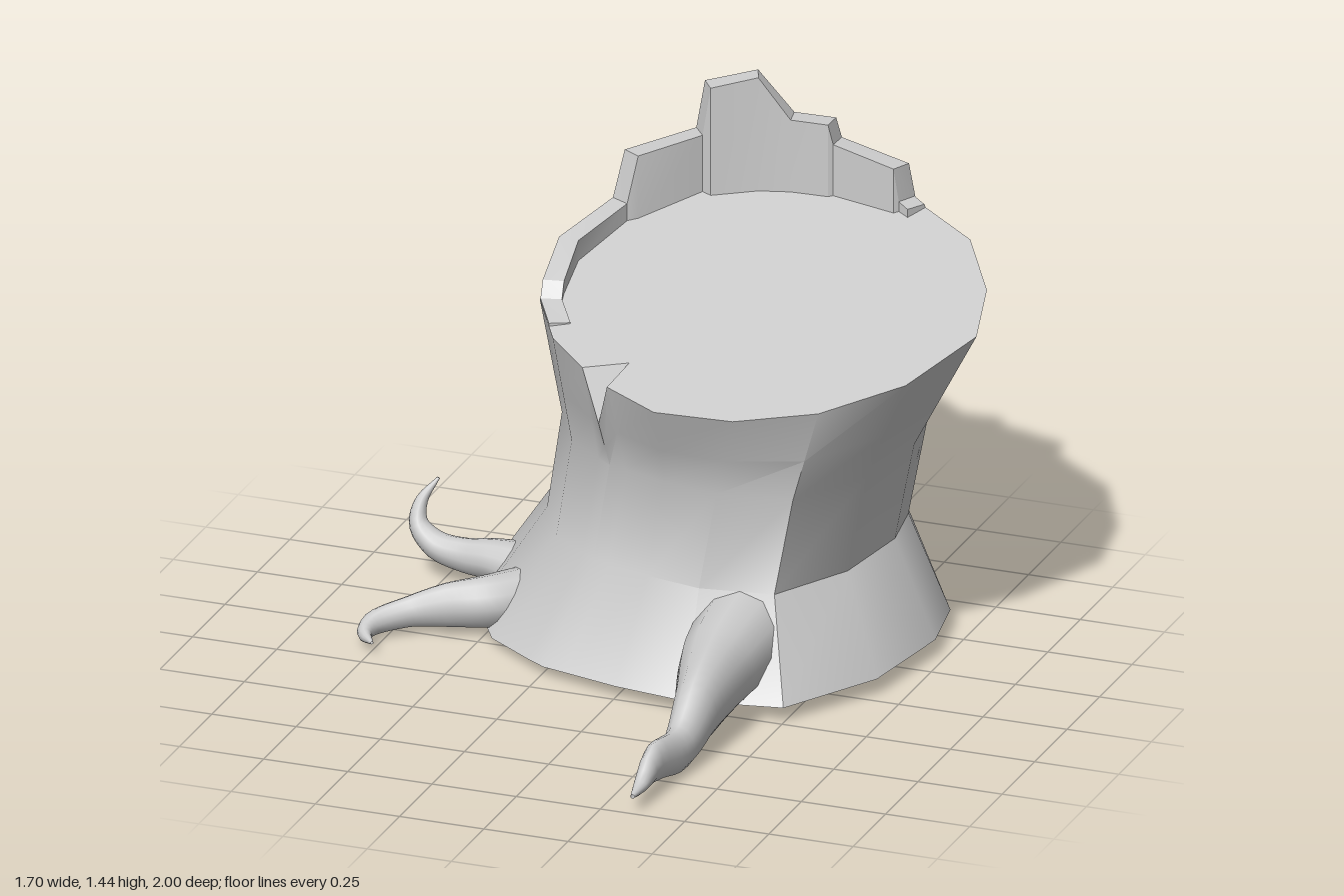
import * as THREE from 'three';
import { mergeVertices, toCreasedNormals } from 'three/addons/utils/BufferGeometryUtils.js';

const V = (x, y, z) => new THREE.Vector3(x, y, z);
const material = new THREE.MeshStandardMaterial({ color: 0xcccccc, side: THREE.DoubleSide });

// Height of the slanted cut at a given depth
const cutY = (z) => 0.91 - 0.24 * z;
const CENTRE = V(0.2, cutY(-0.36), -0.36);
const NOTCH = 12; // rim point at the foot of the notch

// Plan outlines (x, z), counter-clockwise seen from above
const RIM = [
  [0.85, -0.34], [0.8, -0.55], [0.67, -0.76], [0.45, -0.9], [0.22, -0.95], [-0.03, -0.94],
  [-0.2, -0.86], [-0.34, -0.68], [-0.42, -0.42], [-0.4, -0.22], [-0.3, -0.06], [-0.17, 0.05],
  [-0.11, 0.08], [-0.07, 0.12], [0.1, 0.2], [0.33, 0.19], [0.55, 0.1], [0.74, -0.08],
];
const FOOT = [
  [0.72, -0.36], [0.68, -0.58], [0.56, -0.78], [0.36, -0.94], [0.14, -1], [-0.1, -0.95],
  [-0.31, -0.84], [-0.48, -0.65], [-0.64, -0.44], [-0.58, -0.2], [-0.45, 0.02], [-0.3, 0.13],
  [-0.24, 0.17], [-0.17, 0.19], [0, 0.24], [0.22, 0.28], [0.5, 0.24], [0.67, -0.04],
];

const rim = RIM.map(([x, z], i) => V(x, i === NOTCH ? 0.75 : cutY(z), z));

function creasedMesh(name, corners, angle) {
  const geometry = new THREE.BufferGeometry().setFromPoints(corners);
  const mesh = new THREE.Mesh(toCreasedNormals(geometry, angle), material);
  mesh.name = name;
  return mesh;
}

// Trunk: flared foot, narrow waist, wide slanted top with a notch in the rim
function makeTrunk() {
  const foot = FOOT.map(([x, z]) => V(x, 0.04 + 0.02 * x, z));
  const waist = (y, cx, sx) =>
    FOOT.map(([x, z]) => V(cx + (x - 0.04) * sx, y, -0.43 + (z + 0.36) * 0.83));
  const neck = waist(0.6, 0.11, 0.765);
  const rings = [
    foot,
    waist(0.31, 0.06, 0.755),
    neck,
    neck.map((p, i) => p.clone().lerp(rim[i], 0.45)),
    rim,
  ];
  const tris = [];
  const n = rim.length;
  const apex = V(-0.05, cutY(0), 0);
  const surface = rim.map((p, i) => (i === NOTCH ? apex : p));
  const under = V(0.04, 0.04, -0.36);
  for (let i = 0; i < n; i++) {
    const j = (i + 1) % n;
    for (let k = 0; k < rings.length - 1; k++) {
      const [lo, hi] = [rings[k], rings[k + 1]];
      tris.push(lo[i], lo[j], hi[j], lo[i], hi[j], hi[i]);
    }
    tris.push(CENTRE, surface[i], surface[j]); // cut face
    tris.push(under, foot[j], foot[i]); // underside
  }
  // Notch walls
  tris.push(rim[NOTCH - 1], rim[NOTCH], apex, rim[NOTCH], rim[NOTCH + 1], apex);
  return creasedMesh('trunk', tris, 0.65);
}

// Splintered wall of bark standing on the back and right of the rim
function makeBrokenBark() {
  // position along the rim, height of the upper edge
  const edge = [
    [2.8, 1.13], [2.97, 1.14], [3, 1.24], [3.97, 1.27], [4.03, 1.33], [4.55, 1.33], [5, 1.45],
    [5.85, 1.42], [5.95, 1.27], [7, 1.25], [7.12, 1.11], [8, 1.07], [8.85, 1.01], [9.05, 0.97],
    [9.7, 0.945],
  ];
  const stations = edge.map(([t, y]) => {
    const i = Math.floor(t);
    const base = rim[i].clone().lerp(rim[i + 1], t - i);
    const inward = V(CENTRE.x - base.x, 0, CENTRE.z - base.z).normalize();
    const lean = Math.max(0, y - 1.1) * 0.15;
    const top = base.clone().addScaledVector(inward, lean).setY(y);
    const innerTop = top.clone().addScaledVector(inward, 0.06);
    const innerBase = innerTop.clone().setY(cutY(innerTop.z) - 0.01);
    return [base, top, innerTop, innerBase];
  });
  const tris = [];
  for (let k = 0; k < stations.length - 1; k++) {
    const [a, b] = [stations[k], stations[k + 1]];
    for (let j = 0; j < 3; j++) tris.push(a[j], b[j], b[j + 1], a[j], b[j + 1], a[j + 1]);
  }
  const [s, e] = [stations[0], stations[stations.length - 1]];
  tris.push(s[0], s[1], s[2], s[0], s[2], s[3], e[0], e[2], e[1], e[0], e[3], e[2]);
  return creasedMesh('brokenBark', tris, 0.45);
}

// Tapering root: each point is x, y, z, half width, half height
function makeRoot(name, points) {
  const steps = 28, sides = 12;
  const curve = new THREE.CatmullRomCurve3(points.map(([x, y, z]) => V(x, y, z)));
  const tube = new THREE.TubeGeometry(curve, steps, 1, sides, false);
  const pos = tube.attributes.position;
  const p = V(0, 0, 0);
  for (let i = 0; i <= steps; i++) {
    const centre = curve.getPointAt(i / steps);
    const t = curve.getUtoTmapping(i / steps) * (points.length - 1);
    const k = Math.min(Math.floor(t), points.length - 2);
    const size = (c) => THREE.MathUtils.lerp(points[k][c], points[k + 1][c], t - k);
    const scale = V(size(3), size(4), size(3));
    for (let j = 0; j <= sides; j++) {
      const id = i * (sides + 1) + j;
      p.fromBufferAttribute(pos, id).sub(centre).multiply(scale).add(centre);
      pos.setXYZ(id, p.x, p.y, p.z);
    }
  }
  tube.deleteAttribute('uv');
  tube.deleteAttribute('normal');
  const geometry = mergeVertices(tube);
  geometry.computeVertexNormals();
  const mesh = new THREE.Mesh(geometry, material);
  mesh.name = name;
  return mesh;
}

export function createModel() {
  const model = new THREE.Group();
  model.name = 'treeStump';
  model.add(
    makeTrunk(),
    makeBrokenBark(),
    makeRoot('frontRoot', [
      [0.31, 0.175, 0.02, 0.145, 0.145], [0.315, 0.155, 0.25, 0.115, 0.125],
      [0.345, 0.13, 0.5, 0.066, 0.105], [0.35, 0.07, 0.66, 0.045, 0.065],
      [0.34, 0.09, 0.83, 0.03, 0.058], [0.34, 0.06, 0.92, 0.022, 0.02],
      [0.345, 0.057, 1, 0.006, 0.006],
    ]),
    makeRoot('rightFrontRoot', [
      [-0.42, 0.1, -0.15, 0.085, 0.08], [-0.5, 0.1, -0.07, 0.07, 0.075],
      [-0.6, 0.09, -0.03, 0.05, 0.065], [-0.7, 0.07, 0.01, 0.035, 0.045],
      [-0.78, 0.05, 0.08, 0.03, 0.035], [-0.785, 0.04, 0.13, 0.022, 0.025],
      [-0.74, 0.04, 0.19, 0.004, 0.004],
    ]),
    makeRoot('rightBackRoot', [
      [-0.47, 0.09, -0.34, 0.08, 0.08], [-0.58, 0.1, -0.36, 0.062, 0.06],
      [-0.68, 0.095, -0.37, 0.043, 0.05], [-0.77, 0.11, -0.38, 0.04, 0.04],
      [-0.825, 0.16, -0.39, 0.028, 0.03], [-0.825, 0.22, -0.41, 0.018, 0.02],
      [-0.785, 0.285, -0.44, 0.004, 0.004],
    ]),
  );
  return model;
}
